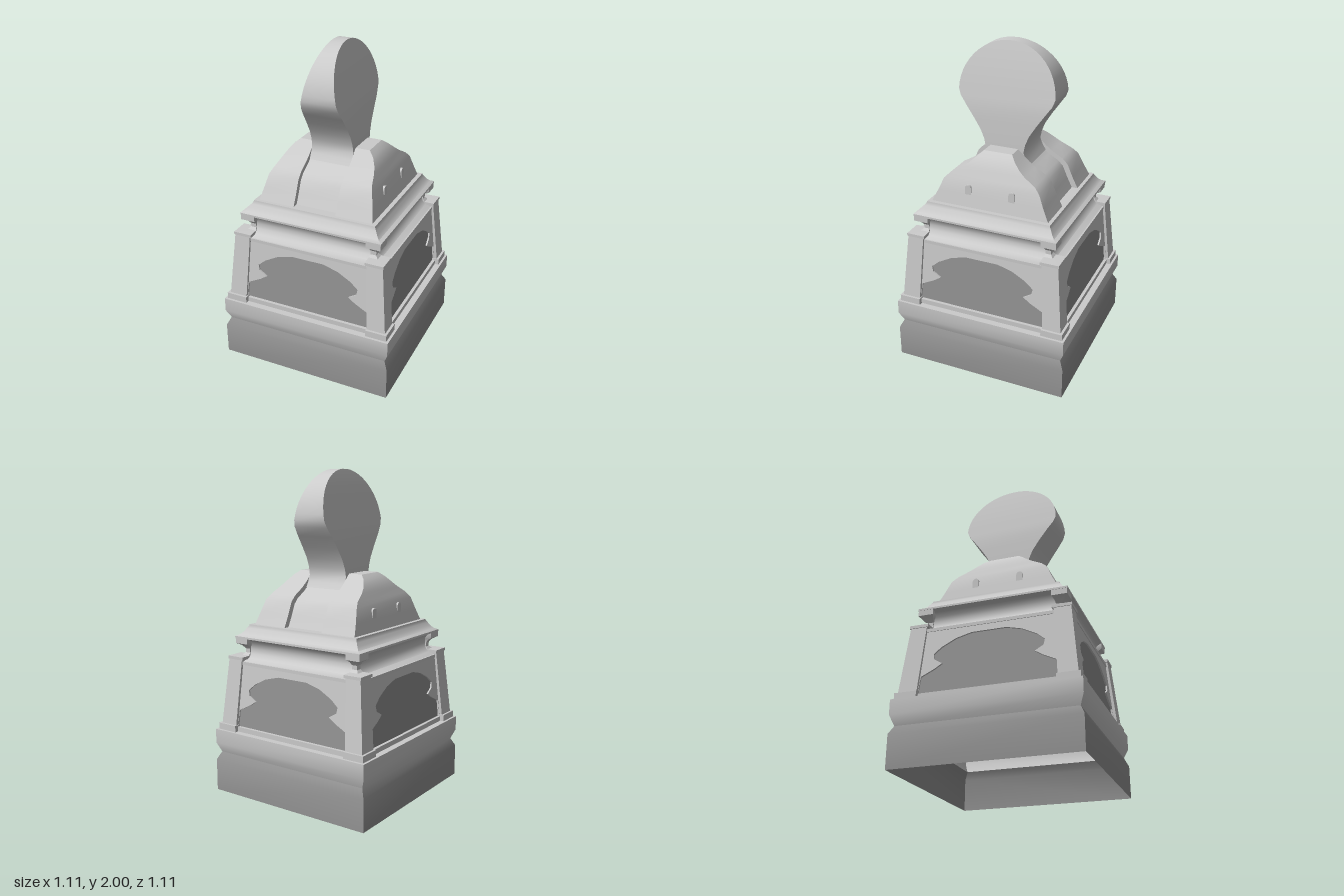
import * as THREE from 'three';
import { toCreasedNormals } from 'three/addons/utils/BufferGeometryUtils.js';

const stone = new THREE.MeshStandardMaterial({ color: 0xcccccc, side: THREE.DoubleSide });
const darkStone = new THREE.MeshStandardMaterial({ color: 0x939393, side: THREE.DoubleSide });

// Rectangular cross-sections [x0, x1, z0, z1, y] joined from bottom to top.
function loft(rows, { top = true, bottom = true, crease = 0.6 } = {}) {
  const positions = [], index = [];
  for (const [x0, x1, z0, z1, y] of rows) {
    positions.push(x0, y, z1, x1, y, z1, x1, y, z0, x0, y, z0);
  }
  for (let i = 0; i < rows.length - 1; i++) {
    for (let j = 0; j < 4; j++) {
      const a = i * 4 + j, b = i * 4 + (j + 1) % 4;
      index.push(a, b, b + 4, a, b + 4, a + 4);
    }
  }
  const t = (rows.length - 1) * 4;
  if (top) index.push(t, t + 1, t + 2, t, t + 2, t + 3);
  if (bottom) index.push(0, 2, 1, 0, 3, 2);
  const geometry = new THREE.BufferGeometry();
  geometry.setAttribute('position', new THREE.Float32BufferAttribute(positions, 3));
  geometry.setIndex(index);
  return toCreasedNormals(geometry, crease);
}

// Centred square cross-sections from [halfWidth, y] pairs.
const square = (profile, options) => loft(profile.map(([h, y]) => [-h, h, -h, h, y]), options);

function add(parent, name, geometry, material = stone) {
  const mesh = new THREE.Mesh(geometry, material);
  mesh.name = name;
  parent.add(mesh);
  return mesh;
}

// Arched spandrel panel that leans inwards between two posts
function archPanel() {
  const arch = [[0.41, 0.43], [0.4, 0.535], [0.32, 0.575], [0.275, 0.605], [0.325, 0.635],
    [0.332, 0.67], [0.285, 0.71], [0.2, 0.755], [0.105, 0.78]];
  const outline = [[-0.43, 0.43], [-0.41, 0.84], [0.41, 0.84], [0.43, 0.43], ...arch,
    ...arch.map(([x, y]) => [-x, y]).reverse()];
  const shape = new THREE.Shape(outline.map(([x, y]) => new THREE.Vector2(x, y - 0.43)));
  return new THREE.ExtrudeGeometry(shape, { depth: 0.01, bevelEnabled: false })
    .rotateX(-0.085).translate(0, 0.43, 0.498);
}

// Small round-headed vent
function ventGeometry() {
  const shape = new THREE.Shape();
  shape.moveTo(-0.02, 0);
  shape.lineTo(0.02, 0);
  shape.lineTo(0.02, 0.085);
  shape.absarc(0, 0.085, 0.02, 0, Math.PI, false);
  shape.closePath();
  return new THREE.ExtrudeGeometry(shape, { depth: 0.05, bevelEnabled: false, curveSegments: 6 })
    .rotateY(Math.PI / 2);
}

export function createModel() {
  const model = new THREE.Group();
  model.name = 'shrine';

  // Hollow plinth, open underneath
  add(model, 'baseBlock', square([[0.555, 0], [0.555, 0.2], [0.53, 0.25]],
    { top: false, bottom: false }), darkStone);
  add(model, 'baseBand', square([[0.53, 0.25], [0.555, 0.31], [0.555, 0.4]], { bottom: false }));

  // Dark inner walls seen through the arches
  add(model, 'innerWalls', square([[0.498, 0.401], [0.462, 0.84]]), darkStone);

  // Each side: arch panel, trims and one corner post
  for (let k = 0; k < 4; k++) {
    const side = new THREE.Group();
    side.name = 'side' + (k + 1);
    side.rotation.y = k * Math.PI / 2;
    add(side, 'archPanel', archPanel());
    add(side, 'lowerTrim', new THREE.BoxGeometry(0.84, 0.03, 0.03)).position.set(0, 0.415, 0.5);
    add(side, 'upperTrim', new THREE.BoxGeometry(0.79, 0.02, 0.03)).position.set(0, 0.83, 0.464);
    add(side, 'postFoot', loft([[0.405, 0.54, 0.405, 0.54, 0.4], [0.405, 0.54, 0.405, 0.54, 0.44]]));
    add(side, 'cornerPost', loft([[0.41, 0.525, 0.41, 0.525, 0.44], [0.385, 0.487, 0.385, 0.487, 0.85]]));
    const capital = [[0.375, 0.492, 0.85], [0.375, 0.492, 0.868], [0.375, 0.43, 0.87],
      [0.38, 0.415, 0.885], [0.38, 0.415, 0.91], [0.375, 0.43, 0.93], [0.365, 0.458, 0.945],
      [0.365, 0.458, 0.985]];
    add(side, 'postCapital', loft(capital.map(([a, b, y]) => [a, b, a, b, y])));
    model.add(side);
  }

  // Hollow moulding below the cornice, and the cornice itself
  add(model, 'coveMoulding', square([[0.47, 0.84], [0.435, 0.855], [0.412, 0.88], [0.405, 0.91],
    [0.412, 0.94], [0.43, 0.965], [0.455, 0.98]], { crease: 0.8 }));
  add(model, 'cornice', square([[0.46, 0.978], [0.46, 0.99], [0.438, 1.0], [0.42, 1.018],
    [0.408, 1.038], [0.397, 1.055], [0.397, 1.06]], { crease: 0.7 }));

  // Roof: two curved shoulders either side of a sunken middle strip
  const roof = [[0.37, 0.375, 1.06], [0.355, 0.34, 1.13], [0.337, 0.305, 1.21], [0.32, 0.27, 1.245],
    [0.303, 0.2, 1.285], [0.288, 0.16, 1.315], [0.262, 0.12, 1.352], [0.228, 0.09, 1.38]];
  add(model, 'leftRoof', loft(roof.map(([x, z, y]) => [0.137, x, -z, z, y])));
  add(model, 'rightRoof', loft(roof.map(([x, z, y]) => [-x, -0.137, -z, z, y])));
  add(model, 'roofChannel', loft(roof.map(([, z, y]) =>
    [-0.14, 0.14, -z * 0.9, z * 0.9, 1.06 + (y - 1.06) * 0.9])));

  // Paired vents on both roof ends
  for (const s of [-1, 1]) {
    for (const z of [-0.14, 0.14]) {
      add(model, 'roofVent', ventGeometry()).position.set(s > 0 ? 0.304 : -0.354, 1.09, z);
    }
  }

  // Tapering disc finial on a waisted neck: [half thickness, half depth, y]
  const finial = [[0.135, 0.16, 1.285], [0.136, 0.138, 1.32], [0.136, 0.122, 1.36],
    [0.135, 0.132, 1.41], [0.133, 0.155, 1.465], [0.13, 0.2, 1.535], [0.126, 0.25, 1.605],
    [0.118, 0.29, 1.66]];
  for (let i = 0; i <= 12; i++) {
    const a = i / 12 * 1.5;
    const s = Math.sin(a);
    finial.push([0.11 - 0.053 * s - 0.017 * s * s, 0.305 * Math.cos(a), 1.7 + 0.3 * s / Math.sin(1.5)]);
  }
  add(model, 'finial', loft(finial.map(([x, z, y]) => [-x, x, -z, z, y])));

  return model;
}
